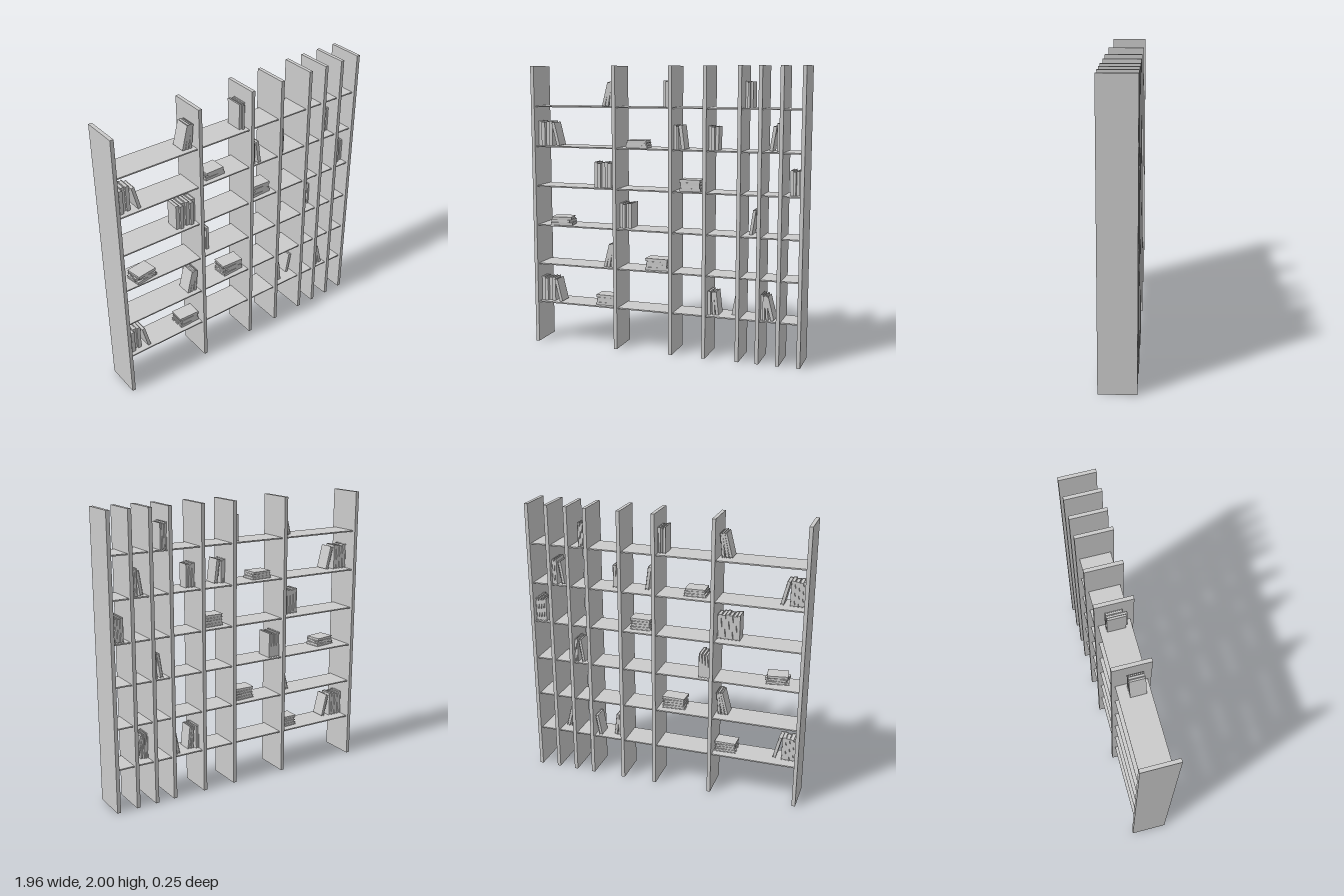
import * as THREE from 'three';

const material = new THREE.MeshStandardMaterial({ color: 0xcccccc });

function box(name, w, h, d, x, y, z) {
  const mesh = new THREE.Mesh(new THREE.BoxGeometry(w, h, d), material);
  mesh.name = name;
  mesh.position.set(x, y, z);
  return mesh;
}

// Upright book standing on y = 0, spine towards +z, centred on x and z
function makeBook(t, h, d) {
  const book = new THREE.Group();
  book.name = 'book';
  const c = 0.003, inset = 0.004;
  for (const s of [-1, 1]) book.add(box('cover', c, h, d, s * (t - c) / 2, h / 2, 0));
  book.add(box('spine', t - 2 * c, h, c, 0, h / 2, (d - c) / 2));
  book.add(box('pages', t - 2 * c, h - 2 * inset, d - c - inset, 0, h / 2, (inset - c) / 2));
  return book;
}

export function createModel() {
  const root = new THREE.Group();
  root.name = 'bookcase';

  // Uprights, and six shelves let in between each neighbouring pair
  const uprights = [-0.966, -0.349, 0.062, 0.304, 0.542, 0.681, 0.822, 0.966];
  const levels = [0.294, 0.578, 0.863, 1.147, 1.433, 1.717];
  const T = 0.025, S = 0.009;
  uprights.forEach((x) => root.add(box('upright', T, 2, 0.25, x, 1, 0)));
  for (let i = 0; i < uprights.length - 1; i++) {
    const a = uprights[i] + T / 2, b = uprights[i + 1] - T / 2;
    for (const y of levels) root.add(box('shelf', b - a, S, 0.206, (a + b) / 2, y, 0));
  }
  const topOf = (level) => levels[level] + S / 2;

  // Rows of upright books: level, x start, x end, count, height, z back, z front
  const rows = [
    [5, -0.005, 0.049, 3, 0.176, -0.06, 0.075],
    [5, 0.556, 0.605, 3, 0.172, -0.1, 0.03],
    [4, -0.953, -0.845, 4, 0.172, -0.03, 0.075],
    [4, 0.076, 0.108, 2, 0.16, -0.02, 0.09],
    [4, 0.318, 0.385, 3, 0.16, -0.03, 0.08],
    [4, 0.772, 0.809, 2, 0.182, -0.1, 0.03],
    [3, -0.52, -0.363, 6, 0.177, -0.03, 0.08],
    [3, 0.873, 0.952, 4, 0.162, -0.09, 0.06],
    [2, -0.336, -0.25, 4, 0.174, -0.08, 0.06],
    [2, 0.642, 0.668, 2, 0.174, -0.09, 0.03],
    [0, -0.953, -0.845, 4, 0.172, -0.03, 0.075],
    [0, 0.318, 0.34, 1, 0.163, -0.06, 0.08],
    [0, 0.695, 0.726, 2, 0.172, -0.03, 0.09],
  ];
  for (const [level, x0, x1, n, h, z0, z1] of rows) {
    const row = new THREE.Group();
    row.name = 'bookRow';
    const t = (x1 - x0) / n;
    for (let i = 0; i < n; i++) {
      const d = z1 - z0 - 0.012 * ((i * 2 + 1) % 3);
      const book = makeBook(t - 0.001, h - 0.004 * ((i * 2) % 3 - 1), d);
      book.position.set(x0 + t * (i + 0.5), topOf(level), z0 + d / 2);
      row.add(book);
    }
    root.add(row);
  }

  // Leaning books: level, x of resting corner, thickness, height, lean to +x, z centre
  const leaning = [
    [4, -0.802, 0.022, 0.168, -0.24, 0.03],
    [4, 0.133, 0.024, 0.165, -0.13, 0.04],
    [4, 0.745, 0.022, 0.165, 0.16, -0.03],
    [2, 0.614, 0.02, 0.17, 0.15, -0.03],
    [0, -0.802, 0.022, 0.168, -0.24, 0.03],
    [0, 0.352, 0.018, 0.162, -0.06, 0.01],
    [0, 0.376, 0.02, 0.164, -0.11, 0.01],
    [0, 0.5, 0.022, 0.157, 0.18, -0.03],
    [0, 0.733, 0.015, 0.172, -0.07, 0.03],
    [0, 0.766, 0.022, 0.165, -0.25, 0.03],
  ];
  for (const level of [1, 5]) {
    leaning.push([level, -0.435, 0.02, 0.168, 0.25, 0.02]);
    leaning.push([level, -0.41, 0.02, 0.172, 0.19, 0.02]);
    leaning.push([level, -0.383, 0.018, 0.165, 0.1, 0.02]);
  }
  for (const [level, x, t, h, lean, z] of leaning) {
    const pivot = new THREE.Group();
    pivot.name = 'leaningBook';
    const book = makeBook(t, h, 0.105);
    book.position.x = -Math.sign(lean) * t / 2;
    pivot.add(book);
    pivot.position.set(x, topOf(level), z);
    pivot.rotation.z = -lean;
    root.add(pivot);
  }

  // Flat stacks: level, x centre, z centre, width, total height, count, turn
  const stacks = [
    [4, -0.205, 0.01, 0.155, 0.053, 3, 0.04],
    [3, 0.185, 0.01, 0.15, 0.08, 4, 0.05],
    [2, -0.782, 0.03, 0.16, 0.06, 3, 0.16],
    [1, -0.058, 0.01, 0.165, 0.082, 4, 0.06],
    [0, -0.443, 0.01, 0.152, 0.073, 4, 0.04],
  ];
  for (const [level, x, z, w, h, n, turn] of stacks) {
    const stack = new THREE.Group();
    stack.name = 'bookStack';
    const t = h / n;
    for (let i = 0; i < n; i++) {
      const book = makeBook(t, w - 0.008 * (i % 3), 0.115 - 0.006 * (i % 2));
      book.rotation.z = Math.PI / 2;
      book.position.set(w / 2 - 0.004 * (i % 3), t * (i + 0.5), 0);
      const turned = new THREE.Group();
      turned.name = 'flatBook';
      turned.add(book);
      turned.rotation.y = turn * (i % 2 ? -0.6 : 1);
      stack.add(turned);
    }
    stack.position.set(x, topOf(level), z);
    root.add(stack);
  }
  return root;
}
